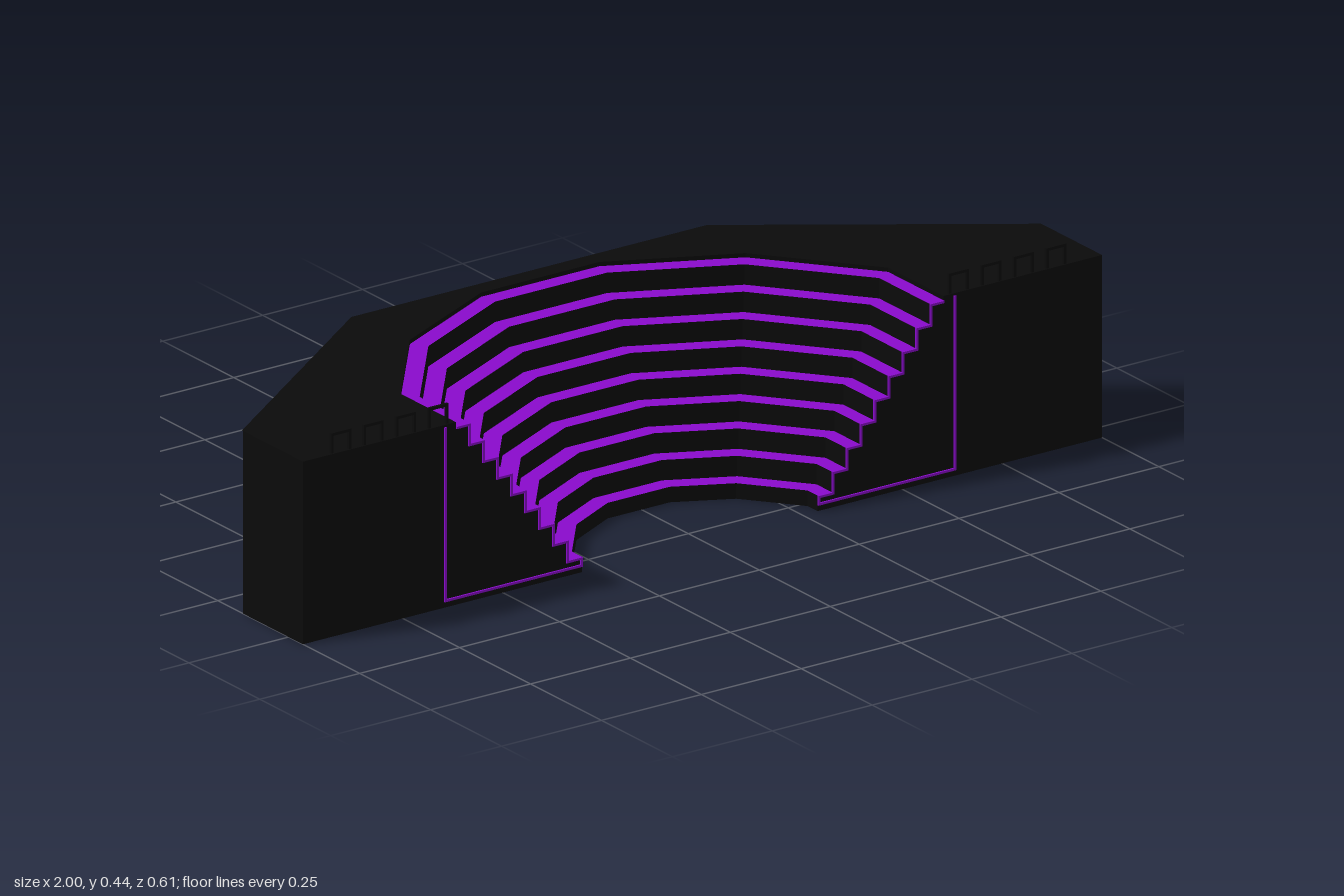
import * as THREE from 'three';

const FRONT = 0.3, TOP = 0.4, STEPS = 9, SHIFT = -0.007;
const black = new THREE.MeshStandardMaterial({ color: 0x0a0a0a, flatShading: true, side: THREE.DoubleSide });
const purple = new THREE.MeshStandardMaterial({ color: 0x8a0acc, flatShading: true, side: THREE.DoubleSide });

// Right half of a faceted arc as [x, z], from the middle of the back to the front
const INNER = [[0.078, 0.085], [0.2, 0.147], [0.295, 0.265], [0.295, FRONT]];
const OUTER = [[0.148, -0.262], [0.42, -0.13], [0.61, 0.105], [0.61, FRONT]];
const WALL_BOTTOM = [[0.157, -0.293], [0.45, -0.15], [0.64, 0.09]];
const WALL_TOP = [[0.16, -0.303], [0.456, -0.156], [0.64, 0.09]];

// Mirror a half arc into a full one running from -x to +x
const mirror = (half) => [...half.map(([x, z]) => [-x, z]).reverse(), ...half];

// Arc of the seating bowl, t = 0 at the stage, t = 1 at the rim
const arc = (t) => mirror(INNER.map(([x, z], i) => [
  THREE.MathUtils.lerp(x, OUTER[i][0], t),
  THREE.MathUtils.lerp(z, OUTER[i][1], t),
]));

// Faceted strip between two arcs at given heights
function strip(arcA, yA, arcB, yB) {
  const pos = [];
  const a = arcA.map(([x, z]) => [x, yA, z]);
  const b = arcB.map(([x, z]) => [x, yB, z]);
  for (let i = 0; i < a.length - 1; i++) {
    pos.push(...a[i], ...a[i + 1], ...b[i + 1], ...a[i], ...b[i + 1], ...b[i]);
  }
  const geo = new THREE.BufferGeometry();
  geo.setAttribute('position', new THREE.Float32BufferAttribute(pos, 3));
  geo.computeVertexNormals();
  return geo;
}

function add(parent, name, geo, mat, x = 0, y = 0, z = 0) {
  const mesh = new THREE.Mesh(geo, mat);
  mesh.name = name;
  mesh.position.set(x, y, z);
  parent.add(mesh);
  return mesh;
}

// Box given by its limits
function block(parent, name, mat, x0, x1, y0, y1, z0, z1) {
  return add(parent, name, new THREE.BoxGeometry(Math.abs(x1 - x0), y1 - y0, z1 - z0), mat,
    (x0 + x1) / 2, (y0 + y1) / 2, (z0 + z1) / 2);
}

const treadY = (k) => 0.034 + k * 0.0446;
const edgeX = (k) => THREE.MathUtils.lerp(INNER[3][0], OUTER[3][0], k / STEPS);

export function createModel() {
  const model = new THREE.Group();
  model.name = 'amphitheatre';
  const bowl = new THREE.Group();
  bowl.name = 'seatingBowl';
  bowl.position.x = SHIFT;
  model.add(bowl);

  // Stepped seating: dark risers and coloured treads, open underneath
  for (let k = 0; k < STEPS; k++) {
    const near = arc(k / STEPS), far = arc((k + 1) / STEPS);
    add(bowl, 'riser', strip(near, k ? treadY(k - 1) : 0, near, treadY(k)), black);
    add(bowl, 'tread', strip(near, treadY(k), far, treadY(k)), purple);
  }
  add(bowl, 'rimRiser', strip(arc(1), treadY(STEPS - 1), arc(1), TOP), black);

  // Faceted back wall, leaning slightly outwards
  add(bowl, 'backWall', strip(mirror(WALL_TOP), TOP, mirror(WALL_BOTTOM), 0), black);

  // Top deck around the bowl
  const deckPath = [[-1, 0.295], [-1, 0.085], [-0.45, -0.304], [0.44, -0.304], [1, 0.085], [1, FRONT],
    ...arc(1).reverse().map(([x, z]) => [x + SHIFT, z])];
  const deck = new THREE.ShapeGeometry(new THREE.Shape(deckPath.map(([x, z]) => new THREE.Vector2(x, -z))));
  deck.rotateX(-Math.PI / 2);
  add(model, 'topDeck', deck, black, 0, TOP, 0);

  // Stepped end panel profile
  const profile = [[0.64, 0], [0.64, TOP], [edgeX(STEPS), TOP]];
  for (let k = STEPS - 1; k >= 0; k--) {
    profile.push([edgeX(k + 1), treadY(k)], [edgeX(k), treadY(k)]);
  }
  profile.push([edgeX(0), 0]);

  for (const s of [-1, 1]) {
    // Wing block beside the bowl
    block(model, 'wing', black, s, s * 0.64 + SHIFT, 0, TOP, 0.088, FRONT);

    const panel = new THREE.Shape(profile.map(([x, y]) => new THREE.Vector2(s * x, y)));
    add(bowl, 'endPanel', new THREE.ShapeGeometry(panel), black, 0, 0, FRONT);

    // Coloured trim outlining the end panel
    const w = 0.005, z0 = FRONT - 0.001, z1 = FRONT + 0.004;
    const trim = (x0, x1, y0, y1) => block(bowl, 'trim', purple, s * x0, s * x1, y0, y1, z0, z1);
    trim(0.64 - w, 0.64, 0.013, TOP - 0.005);
    trim(edgeX(0), 0.64, 0.013, 0.013 + w);
    for (let k = 0; k < STEPS; k++) {
      trim(edgeX(k), edgeX(k + 1), treadY(k) - w, treadY(k));
      trim(edgeX(k), edgeX(k) + w, k ? treadY(k - 1) - w : 0.013, treadY(k));
    }

    // Row of square railing hoops on the front edge
    for (let i = 0; i < 4; i++) {
      const hoop = new THREE.Group();
      hoop.name = 'railingHoop';
      hoop.position.set(s * (0.651 + i * 0.0813), TOP, 0.294);
      bowl.add(hoop);
      const r = 0.025, h = 0.044, t = 0.006;
      block(hoop, 'hoopPost', black, -r, -r + t, 0, h, -t / 2, t / 2);
      block(hoop, 'hoopPost', black, r - t, r, 0, h, -t / 2, t / 2);
      block(hoop, 'hoopRail', black, -r, r, h - t, h, -t / 2, t / 2);
    }
  }
  return model;
}
